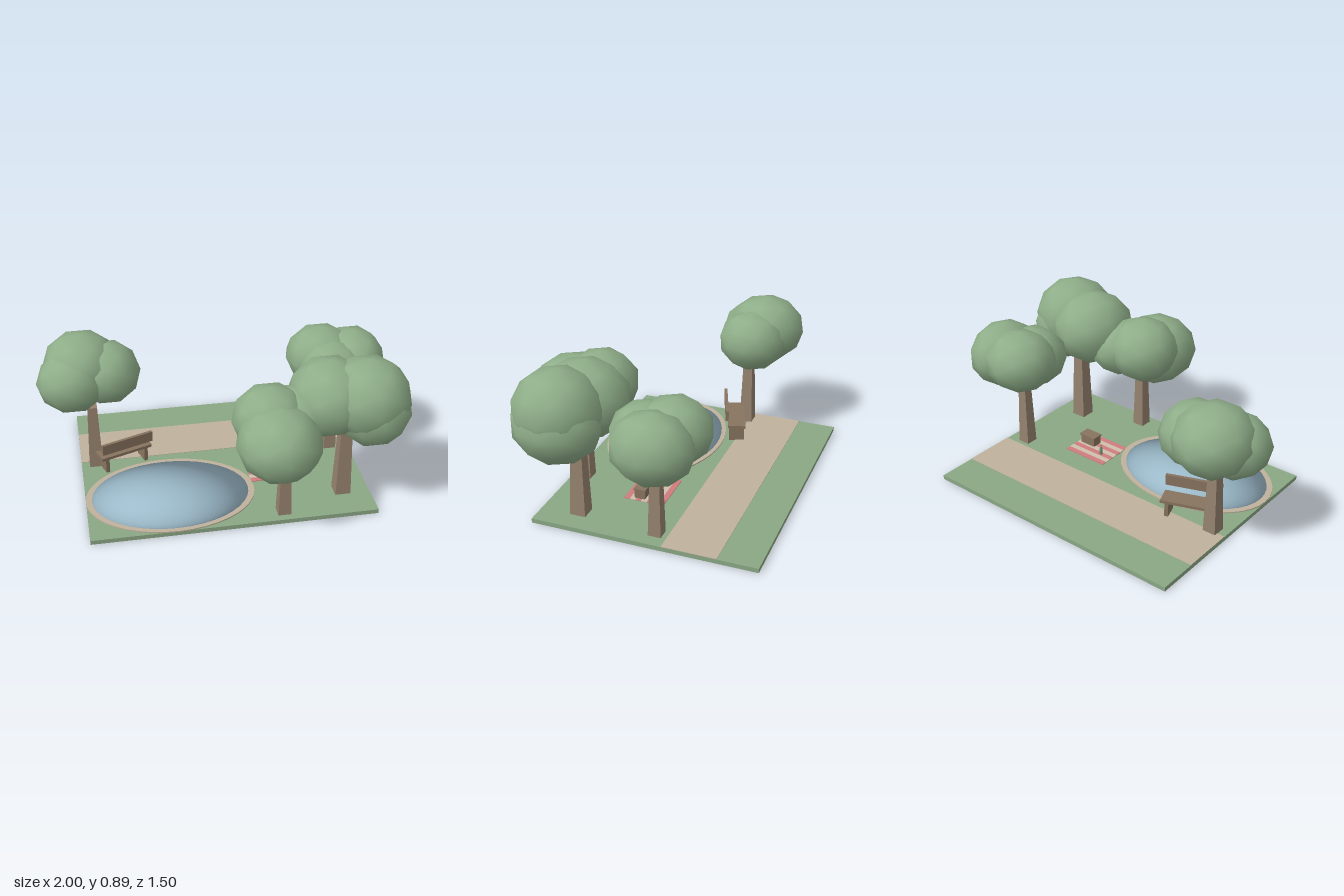
import * as THREE from 'three';

const mat = (name, color) => {
  const m = new THREE.MeshStandardMaterial({ color });
  m.name = name;
  return m;
};

export function createModel() {
  const grass = mat('grass', 0x8aa784);
  const leaf = mat('leaf', 0x8fae89);
  const sand = mat('sand', 0xbfb29e);
  const water = mat('water', 0x9cbaca);
  const bark = mat('bark', 0x95826e);
  const wood = mat('wood', 0x88745f);
  const red = mat('red', 0xd07c7c);
  const cream = mat('cream', 0xcfc0ad);
  const glass = mat('glass', 0x6f9070);

  const model = new THREE.Group();
  model.name = 'park';

  const add = (parent, name, geo, material, x = 0, y = 0, z = 0) => {
    const mesh = new THREE.Mesh(geo, material);
    mesh.name = name;
    mesh.position.set(x, y, z);
    parent.add(mesh);
    return mesh;
  };
  const group = (name, x = 0, y = 0, z = 0) => {
    const g = new THREE.Group();
    g.name = name;
    g.position.set(x, y, z);
    model.add(g);
    return g;
  };
  const box = (w, h, d) => new THREE.BoxGeometry(w, h, d);

  // Ground and path
  const top = 0.025;
  add(model, 'ground', box(1.59, top, 1.255), grass, 0.01, top / 2, -0.1225);
  add(model, 'path', box(1.59, 0.003, 0.3), sand, 0.01, top + 0.0015, -0.38);

  // Pond: oval rim and a flattened dome of water that keeps its rounded normals
  const pond = group('pond', -0.31, top, 0.17);
  const rim = new THREE.CylinderGeometry(1, 1, 0.007, 40).scale(0.477, 1, 0.34);
  add(pond, 'pondRim', rim, sand, 0, 0.0035, 0);
  const dome = new THREE.SphereGeometry(1, 40, 12, 0, Math.PI * 2, 0, Math.PI / 2);
  const p = dome.attributes.position;
  for (let i = 0; i < p.count; i++) {
    p.setXYZ(i, p.getX(i) * 0.442, 0.0075 + p.getY(i) * 0.004, p.getZ(i) * 0.315);
  }
  add(pond, 'pondWater', dome, water);

  // Trees: trunk [x, z, base width, height], crowns [x, y, z, rx, ry, rz]
  const trees = [
    { trunk: [-0.7, -0.215, 0.077, 0.42], crowns: [
      [-0.74, 0.645, -0.3, 0.22, 0.195, 0.23],
      [-0.8, 0.595, -0.21, 0.2, 0.175, 0.19],
      [-0.6, 0.61, -0.26, 0.19, 0.178, 0.2]] },
    { trunk: [0.283, 0.427, 0.073, 0.42], crowns: [
      [0.228, 0.53, 0.5, 0.232, 0.205, 0.245],
      [0.21, 0.59, 0.35, 0.21, 0.19, 0.21],
      [0.36, 0.575, 0.33, 0.18, 0.17, 0.2]] },
    { trunk: [0.648, 0.29, 0.088, 0.48], crowns: [
      [0.735, 0.67, 0.35, 0.24, 0.225, 0.243],
      [0.765, 0.605, 0.345, 0.215, 0.212, 0.245],
      [0.545, 0.66, 0.29, 0.23, 0.215, 0.25]] },
    { trunk: [0.695, -0.165, 0.072, 0.42], crowns: [
      [0.81, 0.592, -0.19, 0.19, 0.193, 0.225],
      [0.635, 0.615, -0.24, 0.205, 0.178, 0.205],
      [0.67, 0.585, -0.11, 0.2, 0.175, 0.2]] },
  ];
  for (const { trunk: [x, z, w, h], crowns } of trees) {
    const tree = group('tree');
    const k = Math.SQRT1_2;
    const trunk = new THREE.CylinderGeometry(w * 0.7 * k, w * k, h - top, 4, 1)
      .rotateY(Math.PI / 4).toNonIndexed();
    trunk.computeVertexNormals();
    add(tree, 'trunk', trunk, bark, x, (h + top) / 2, z);
    for (const [cx, cy, cz, rx, ry, rz] of crowns) {
      add(tree, 'crown', new THREE.IcosahedronGeometry(1, 1), leaf, cx, cy, cz).scale.set(rx, ry, rz);
    }
  }

  // Bench, turned towards the path
  const bench = group('bench', -0.537, 0, -0.192);
  bench.rotation.y = 0.35;
  add(bench, 'seat', box(0.316, 0.017, 0.104), wood, 0, 0.1225, 0);
  add(bench, 'backrest', box(0.316, 0.063, 0.018), wood, 0, 0.197, 0.06);
  for (const s of [-1, 1]) {
    add(bench, 'benchLeg', box(0.022, 0.09, 0.09), wood, s * 0.123, 0.07, 0);
  }

  // Striped picnic blanket
  const blanket = group('blanket', 0.3, top + 0.002, 0.015);
  const stripe = 0.23 / 7;
  for (let i = 0; i < 7; i++) {
    add(blanket, 'stripe', box(0.28, 0.004, stripe), i % 2 ? cream : red, 0, 0, (i - 3) * stripe);
  }

  // Picnic basket with a lid
  const basket = group('basket', 0.372, 0.029, 0.045);
  add(basket, 'basketBody', box(0.1, 0.052, 0.06), wood, 0, 0.026, 0);
  add(basket, 'basketLid', box(0.11, 0.008, 0.07), wood, 0, 0.055, 0);

  // Bottle
  const profile = [[0, 0], [0.009, 0], [0.009, 0.035], [0.004, 0.045], [0.004, 0.064], [0, 0.064]]
    .map(([x, y]) => new THREE.Vector2(x, y));
  add(model, 'bottle', new THREE.LatheGeometry(profile, 10), glass, 0.238, 0.029, -0.018);

  return model;
}
